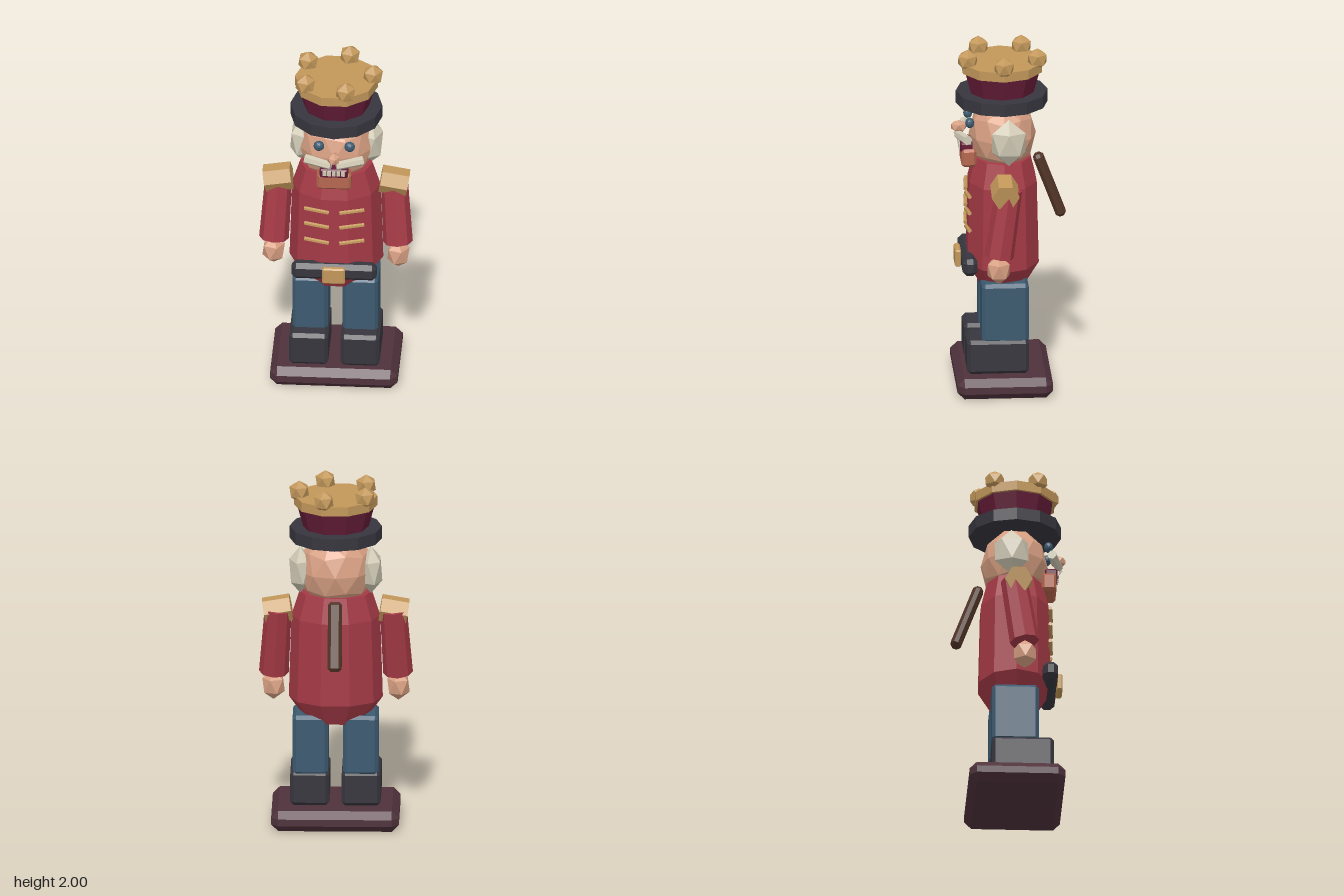
import * as THREE from 'three';
import { ConvexGeometry } from 'three/addons/geometries/ConvexGeometry.js';

const mat = (name, color) => {
  const m = new THREE.MeshStandardMaterial({ color });
  m.name = name;
  return m;
};

export function createModel() {
  const model = new THREE.Group();
  model.name = 'toySoldier';

  const plum = mat('plumWood', 0x4f323b);
  const black = mat('blackLeather', 0x37363e);
  const blue = mat('blueCloth', 0x3c5a70);
  const red = mat('redCoat', 0xa53a46);
  const gold = mat('gold', 0xc2975a);
  const skin = mat('skin', 0xd79f82);
  const clay = mat('jawClay', 0xb5674f);
  const cream = mat('creamHair', 0xcfc9b4);
  const maroon = mat('maroonFelt', 0x651c37);
  const brown = mat('brownWood', 0x523426);

  // Flat-shaded mesh
  const add = (name, geometry, material, x = 0, y = 0, z = 0) => {
    const g = geometry.index ? geometry.toNonIndexed() : geometry;
    g.computeVertexNormals();
    const mesh = new THREE.Mesh(g, material);
    mesh.name = name;
    mesh.position.set(x, y, z);
    model.add(mesh);
    return mesh;
  };

  // Box with every edge cut by c
  const chamferBox = (w, h, d, c) => {
    const pts = [];
    for (const sx of [-1, 1]) for (const sy of [-1, 1]) for (const sz of [-1, 1]) {
      const X = w / 2, Y = h / 2, Z = d / 2;
      pts.push(
        new THREE.Vector3(sx * X, sy * (Y - c), sz * (Z - c)),
        new THREE.Vector3(sx * (X - c), sy * Y, sz * (Z - c)),
        new THREE.Vector3(sx * (X - c), sy * (Y - c), sz * Z));
    }
    return new ConvexGeometry(pts);
  };

  // Faceted ball standing on a vertex
  const ball = (rx, ry, rz, detail = 0) =>
    new THREE.IcosahedronGeometry(1, detail)
      .rotateZ(Math.atan(2 / (1 + Math.sqrt(5)))).rotateY(Math.PI).scale(rx, ry, rz);

  // Upright prism with a corner on +x
  const drum = (rTop, rBottom, h, sides) =>
    new THREE.CylinderGeometry(rTop, rBottom, h, sides, 1, false, Math.PI / 2);

  // Prism running from a to b
  const rod = (name, a, b, ra, rb, sides, material) => {
    const A = new THREE.Vector3(...a), B = new THREE.Vector3(...b);
    const dir = B.clone().sub(A);
    const mesh = add(name, drum(rb, ra, dir.length(), sides), material);
    mesh.position.copy(A).add(B).multiplyScalar(0.5);
    mesh.quaternion.setFromUnitVectors(new THREE.Vector3(0, 1, 0), dir.normalize());
    return mesh;
  };

  // Stand
  add('base', chamferBox(0.72, 0.12, 0.54, 0.04), plum, 0, 0.06, 0.04);

  // Coat body: ten-sided turned shape, flattened front to back
  const profile = [[0, 0.6], [0.17, 0.6], [0.265, 0.73], [0.25, 1.21], [0.205, 1.353], [0, 1.353]]
    .map(([r, y]) => new THREE.Vector2(r, y));
  add('coat', new THREE.LatheGeometry(profile, 10, Math.PI / 2).scale(1, 1, 0.8), red, 0, 0, 0.037);

  // Belt and buckle
  add('belt', chamferBox(0.48, 0.1, 0.085, 0.025), black, 0, 0.75, 0.232);
  add('buckle', chamferBox(0.13, 0.1, 0.035, 0.008), gold, 0, 0.75, 0.29);

  // Mirrored limbs and features
  for (const [side, s] of [['left', 1], ['right', -1]]) {
    add(side + 'Boot', chamferBox(0.22, 0.2, 0.35, 0.02), black, s * 0.145, 0.22, 0.075);
    add(side + 'Leg', chamferBox(0.2, 0.35, 0.265, 0.02), blue, s * 0.142, 0.475, 0.033);
    rod(side + 'Arm', [s * 0.35, 0.86, 0.078], [s * 0.325, 1.25, 0.02], 0.084, 0.076, 8, red);
    add(side + 'Hand', ball(0.071, 0.086, 0.073), skin, s * 0.352, 0.782, 0.08);

    // Shoulder piece: hexagonal bar sloping outward
    const epaulette = add(side + 'Epaulette',
      new THREE.CylinderGeometry(0.078, 0.078, 0.155, 6).rotateZ(Math.PI / 2), gold,
      s * 0.328, 1.24, 0.043);
    epaulette.rotation.z = -s * 0.17;

    // Coat braids
    for (const y of [1.146, 1.048, 0.944])
      rod(side + 'Braid', [s * 0.03, y - 0.01, 0.243], [s * 0.17, y + 0.01, 0.232], 0.012, 0.012, 6, gold);

    add(side + 'Hair', ball(0.07, 0.138, 0.111), cream, s * 0.2, 1.485, 0.012);
    add(side + 'Eye', ball(0.031, 0.031, 0.026, 1), blue, s * 0.087, 1.57, 0.226);
    rod(side + 'Moustache', [s * 0.015, 1.478, 0.288], [s * 0.163, 1.492, 0.242], 0.024, 0.028, 6, cream);
  }

  // Head, nose, mouth and jaw
  add('head', ball(0.215, 0.22, 0.19, 1), skin, 0, 1.48, 0.037);
  add('nose', ball(0.04, 0.036, 0.05), skin, 0, 1.522, 0.283);
  add('jaw', chamferBox(0.195, 0.105, 0.085, 0.015), clay, 0, 1.358, 0.23);
  add('mouth', chamferBox(0.16, 0.055, 0.07, 0.008), maroon, 0, 1.416, 0.243);
  for (let i = -2; i <= 2; i++)
    add('tooth', new THREE.BoxGeometry(0.021, 0.028, 0.012), cream, i * 0.026, 1.422, 0.281);

  // Tall hat
  const hatZ = 0.04;
  add('hatBrim', drum(0.26, 0.26, 0.072, 12), black, 0, 1.699, hatZ);
  add('hatCrown', drum(0.22, 0.185, 0.13, 10), maroon, 0, 1.797, hatZ);
  add('hatBand', drum(0.235, 0.235, 0.055, 10), gold, 0, 1.887, hatZ);
  for (let i = 0; i < 5; i++) {
    const a = i * Math.PI * 2 / 5;
    add('hatBall', ball(0.062, 0.062, 0.062), gold, 0.207 * Math.cos(a), 1.938, hatZ - 0.207 * Math.sin(a));
  }

  // Lever on the back
  const lever = add('lever', chamferBox(0.08, 0.395, 0.06, 0.018), brown, 0, 1.163, -0.23);
  lever.rotation.x = 0.36;

  return model;
}
